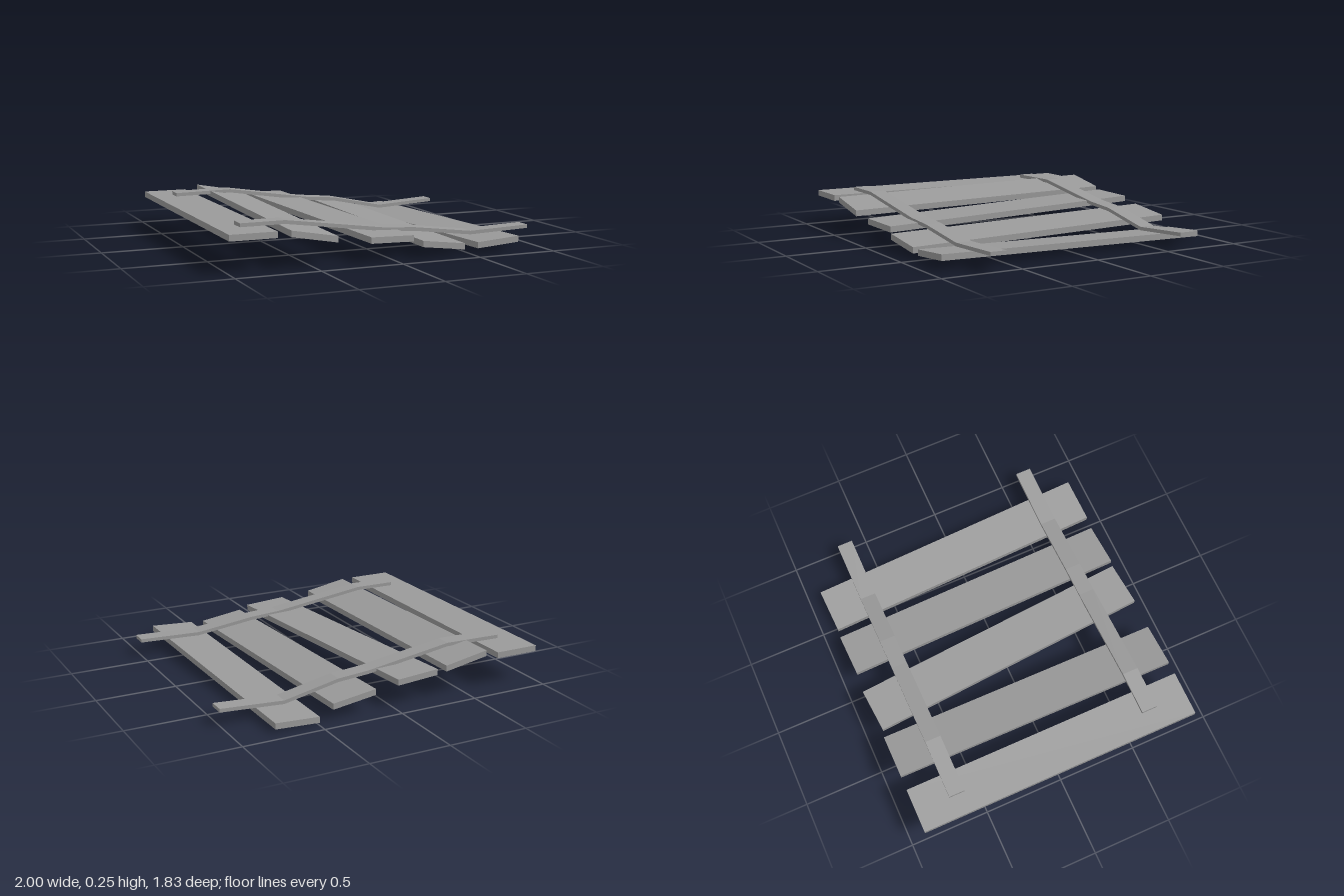
import * as THREE from 'three';

const material = new THREE.MeshStandardMaterial({ color: 0x9a9a9a, flatShading: true });

// Plank from the top-face corners: back left, back right, front left, front right
function plank(name, [b0, b1, f0, f1], thickness = 0.037) {
  const geometry = new THREE.BoxGeometry(1, 1, 1);
  const p = geometry.attributes.position;
  for (let i = 0; i < p.count; i++) {
    const back = p.getZ(i) < 0, low = p.getX(i) < 0;
    const c = back ? (low ? b0 : b1) : (low ? f0 : f1);
    p.setXYZ(i, c[0], c[1] - (p.getY(i) < 0 ? thickness : 0), c[2]);
  }
  geometry.computeVertexNormals();
  const mesh = new THREE.Mesh(geometry, material);
  mesh.name = name;
  return mesh;
}

// Bent batten: side outline from its top line, extruded across its width
function batten(name, top, z, width = 0.1, thickness = 0.022) {
  const bottom = top.map(([x, y]) => [x, y - thickness]).reverse();
  const shape = new THREE.Shape([...top, ...bottom].map(([x, y]) => new THREE.Vector2(x, y)));
  const geometry = new THREE.ExtrudeGeometry(shape, { depth: width, bevelEnabled: false });
  const mesh = new THREE.Mesh(geometry, material);
  mesh.name = name;
  mesh.position.z = z - width / 2;
  return mesh;
}

export function createModel() {
  const model = new THREE.Group();
  model.name = 'plankPanel';

  // Five loose planks, each slightly twisted and tilted
  const planks = [
    [[-1, 0.222, -0.907], [-0.72, 0.222, -0.907], [-1, 0.222, 0.906], [-0.72, 0.222, 0.906]],
    [[-0.635, 0.25, -0.907], [-0.355, 0.2, -0.907], [-0.64, 0.221, 0.906], [-0.36, 0.171, 0.906]],
    [[-0.302, 0.184, -0.894], [-0.022, 0.174, -0.915], [-0.158, 0.15, 0.914], [0.122, 0.14, 0.892]],
    [[0.12, 0.139, -0.903], [0.4, 0.103, -0.91], [0.172, 0.106, 0.911], [0.452, 0.07, 0.903]],
    [[0.482, 0.037, -0.902], [0.762, 0.055, -0.911], [0.534, 0.072, 0.911], [0.814, 0.09, 0.903]],
  ];
  planks.forEach((corners, i) => model.add(plank(`plank${i + 1}`, corners)));

  // Two bent battens lying across the planks
  model.add(batten('frontBatten',
    [[-0.87, 0.245], [-0.6, 0.246], [0.02, 0.162], [0.22, 0.15], [0.6, 0.102], [1, 0.115]], 0.653));
  model.add(batten('backBatten',
    [[-0.87, 0.245], [-0.5, 0.251], [0.05, 0.168], [0.25, 0.153], [0.6, 0.081], [1, 0.105]], -0.64));
  return model;
}
